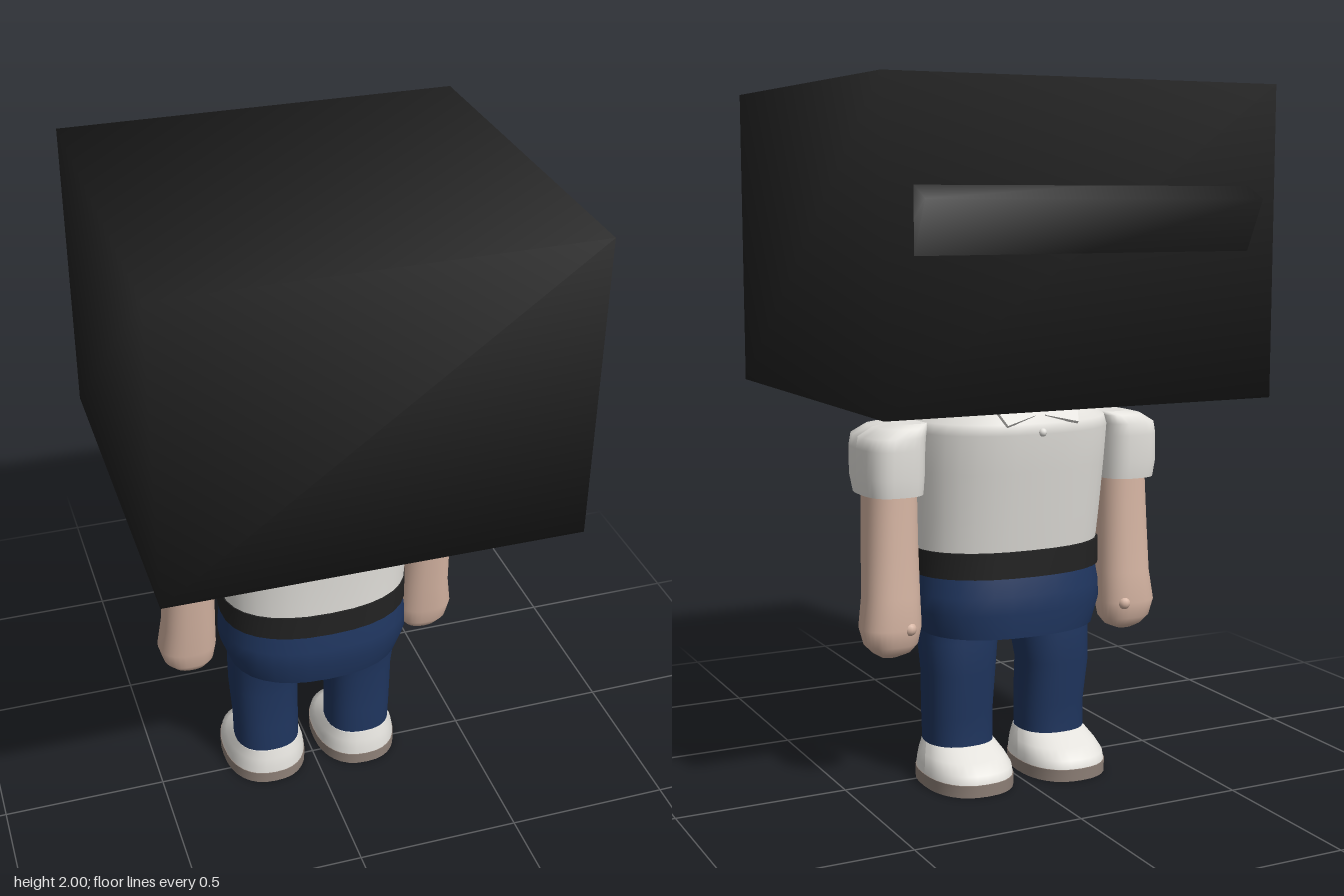
import * as THREE from 'three';
import { mergeVertices } from 'three/addons/utils/BufferGeometryUtils.js';

const mat = (name, color) => new THREE.MeshStandardMaterial({ name, color });

// Stack of rounded cross-sections [y, xMin, xMax, zMin, zMax]; k < 1 squares them off
function loft(rings, k = 1, n = 32) {
  const pos = [], idx = [];
  const bend = (v) => Math.sign(v) * Math.pow(Math.abs(v), k);
  const ring = ([y, x0, x1, z0, z1]) => {
    for (let j = 0; j <= n; j++) {
      const a = (j / n) * Math.PI * 2;
      pos.push((x0 + x1) / 2 + bend(Math.cos(a)) * (x1 - x0) / 2, y,
        (z0 + z1) / 2 + bend(Math.sin(a)) * (z1 - z0) / 2);
    }
  };
  rings.forEach(ring);
  for (let i = 0; i < rings.length - 1; i++) {
    for (let j = 0; j < n; j++) {
      const a = i * (n + 1) + j, b = a + n + 1;
      idx.push(a, b, a + 1, b, b + 1, a + 1);
    }
  }
  // Flat end caps with their own vertices
  [rings[0], rings[rings.length - 1]].forEach((r, top) => {
    const start = pos.length / 3;
    ring(r);
    pos.push((r[1] + r[2]) / 2, r[0], (r[3] + r[4]) / 2);
    const c = start + n + 1;
    for (let j = 0; j < n; j++) {
      if (top) idx.push(c, start + j + 1, start + j);
      else idx.push(c, start + j, start + j + 1);
    }
  });
  const g = new THREE.BufferGeometry();
  g.setAttribute('position', new THREE.Float32BufferAttribute(pos, 3));
  g.setIndex(idx);
  g.computeVertexNormals();
  return g;
}

// Box whose faces share softened corner normals
function softBox(w, h, d) {
  let g = new THREE.BoxGeometry(w, h, d);
  g.deleteAttribute('normal');
  g.deleteAttribute('uv');
  g = mergeVertices(g);
  g.computeVertexNormals();
  return g;
}

export function createModel() {
  const root = new THREE.Group();
  root.name = 'boxHeadFigure';
  const black = mat('black', 0x222222);
  const white = mat('shirtWhite', 0xe4e2dd);
  const skin = mat('skin', 0xd6b5a3);
  const navy = mat('navy', 0x1f355e);
  const taupe = mat('soleTaupe', 0x8f8178);

  const add = (name, geo, material, x = 0, y = 0, z = 0, parent = root) => {
    const m = new THREE.Mesh(geo, material);
    m.name = name;
    m.position.set(x, y, z);
    parent.add(m);
    return m;
  };

  // Box head and the slanted flap poking out of it
  add('head', softBox(1.166, 0.86, 1.11), black, 0, 1.57, 0.035);
  add('flap', softBox(0.996, 0.3, 0.15), black, 0, 1.589, -0.456).rotation.x = -0.46;

  // Torso
  add('neck', loft([[1.05, -0.18, 0.18, -0.2, 0.13], [1.2, -0.18, 0.18, -0.2, 0.13]]), skin);
  add('shirt', loft([
    [0.68, -0.283, 0.283, -0.21, 0.185], [0.8, -0.29, 0.29, -0.23, 0.19],
    [0.93, -0.297, 0.297, -0.25, 0.2], [1.04, -0.3, 0.3, -0.268, 0.206],
    [1.07, -0.29, 0.29, -0.265, 0.2], [1.11, -0.23, 0.23, -0.235, 0.165],
    [1.135, -0.185, 0.185, -0.21, 0.14],
  ], 0.85), white);
  add('belt', loft([[0.625, -0.288, 0.288, -0.226, 0.192], [0.7, -0.288, 0.288, -0.226, 0.192]], 0.85), black);
  add('hips', loft([
    [0.45, -0.265, 0.265, -0.225, 0.185], [0.52, -0.29, 0.29, -0.232, 0.202],
    [0.57, -0.289, 0.289, -0.228, 0.198], [0.63, -0.28, 0.28, -0.215, 0.188],
  ], 0.85), navy);

  // Collar points and button at the chest
  for (const s of [-1, 1]) {
    const flap = add('collar', new THREE.BoxGeometry(0.1, 0.01, 0.08), white, s * 0.075, 1.105, -0.232);
    flap.rotation.set(-0.8, s * 0.3, 0);
  }
  add('button', new THREE.SphereGeometry(0.012, 12, 8), white, 0, 1.045, -0.266);

  // Limbs, built on +x and mirrored through the cross-section limits
  for (const s of [1, -1]) {
    const limb = (name, rings, material, k) => add(name,
      loft(rings.map(([y, a, b, c, d]) => (s > 0 ? [y, a, b, c, d] : [y, -b, -a, c, d])), k), material);
    const side = s > 0 ? 'left' : 'right';
    limb(side + 'Sleeve', [
      [0.87, 0.288, 0.462, -0.155, 0.075], [0.92, 0.285, 0.469, -0.163, 0.09],
      [1.0, 0.283, 0.468, -0.165, 0.095], [1.035, 0.28, 0.462, -0.163, 0.092],
      [1.06, 0.275, 0.42, -0.15, 0.07], [1.07, 0.27, 0.37, -0.12, 0.04],
    ], white, 0.7);
    limb(side + 'Arm', [
      [0.4, 0.36, 0.41, -0.085, -0.045], [0.415, 0.325, 0.435, -0.115, -0.02],
      [0.44, 0.305, 0.46, -0.135, -0.003], [0.49, 0.295, 0.474, -0.145, 0.005],
      [0.58, 0.297, 0.46, -0.14, 0.015], [0.72, 0.298, 0.455, -0.133, 0.03],
      [0.9, 0.298, 0.448, -0.128, 0.045],
    ], skin, 0.85);
    add(side + 'Thumb', new THREE.SphereGeometry(0.02, 12, 10), skin, s * 0.35, 0.49, -0.13);
    limb(side + 'Leg', [
      [0.09, 0.05, 0.252, -0.12, 0.08], [0.2, 0.05, 0.255, -0.116, 0.08],
      [0.33, 0.048, 0.262, -0.136, 0.072], [0.42, 0.035, 0.266, -0.13, 0.09],
      [0.5, 0.03, 0.264, -0.13, 0.098],
    ], navy, 0.85);
    limb(side + 'Shoe', [
      [0.035, 0.024, 0.28, -0.232, 0.099], [0.06, 0.026, 0.277, -0.226, 0.097],
      [0.085, 0.034, 0.268, -0.185, 0.092], [0.115, 0.05, 0.252, -0.122, 0.084],
    ], white, 0.85);
    limb(side + 'Sole', [
      [0, 0.022, 0.282, -0.233, 0.101], [0.036, 0.022, 0.282, -0.235, 0.101],
    ], taupe, 0.85);
  }
  return root;
}
